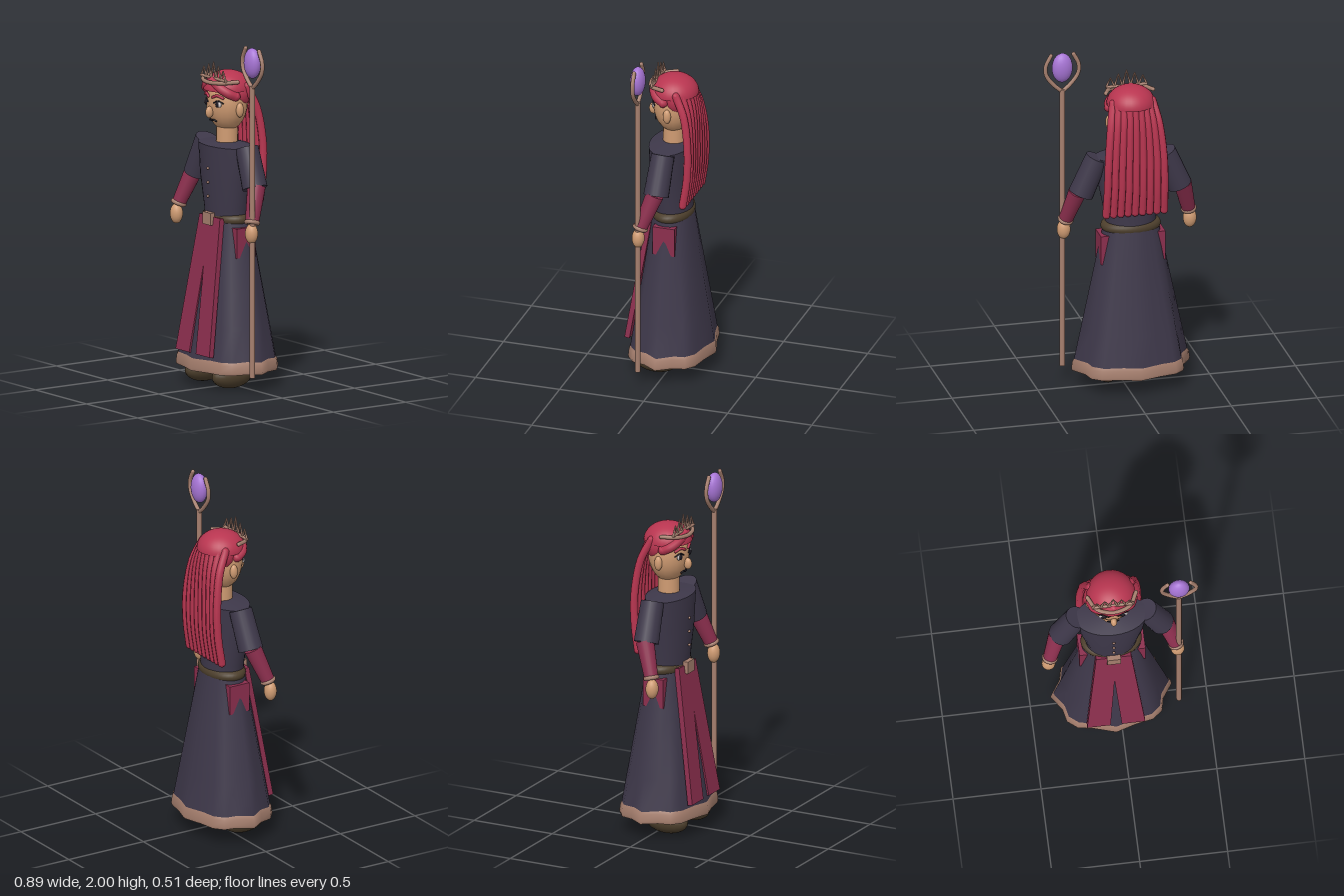
import * as THREE from 'three';

const mat = (name, color) => {
  const m = new THREE.MeshStandardMaterial({ color });
  m.name = name;
  return m;
};

export function createModel() {
  const M = {
    robe: mat('dark robe', 0x3e384a), wine: mat('wine cloth', 0x8c2f4e), hair: mat('red hair', 0xb83550),
    tan: mat('tan trim', 0xa67f6e), skin: mat('skin', 0xcf9b72), belt: mat('brown leather', 0x4d3f2c),
    gem: mat('purple gem', 0xa674d4), dark: mat('dark features', 0x1e1b24), white: mat('eye white', 0xd8d0d0),
  };
  const root = new THREE.Group();
  root.name = 'robedFigure';
  const body = new THREE.Group();
  body.name = 'figure';
  body.position.x = -0.04;
  root.add(body);

  // Helpers
  const add = (name, geo, m, x = 0, y = 0, z = 0) => {
    const mesh = new THREE.Mesh(geo, m);
    mesh.name = name;
    mesh.position.set(x, y, z);
    body.add(mesh);
    return mesh;
  };
  const blob = (name, m, x, y, z, rx, ry, rz) => {
    const mesh = add(name, new THREE.SphereGeometry(1, 20, 14), m, x, y, z);
    mesh.scale.set(rx, ry, rz);
    return mesh;
  };
  const V = (p) => new THREE.Vector3(...p);
  const limb = (name, m, a, b, ra, rb) => {
    const A = V(a), B = V(b), d = A.clone().sub(B);
    const mesh = add(name, new THREE.CylinderGeometry(ra, rb, d.length(), 20), m);
    mesh.position.copy(A).add(B).multiplyScalar(0.5);
    mesh.quaternion.setFromUnitVectors(new THREE.Vector3(0, 1, 0), d.normalize());
    return mesh;
  };
  // Tube with domed ends
  const tube = (name, m, pts, r, n = 20) => {
    add(name, new THREE.TubeGeometry(new THREE.CatmullRomCurve3(pts.map(V)), n, r, 8), m);
    for (const p of [pts[0], pts[pts.length - 1]]) add(name + 'End', new THREE.SphereGeometry(r, 8, 6), m, ...p);
  };
  // Surface through closed rings listed from bottom to top; each ring is { y, pts: [[x, z], ...] }
  const loft = (rings) => {
    const n = rings[0].pts.length, pos = [], idx = [];
    rings.forEach(({ y, pts }) => pts.forEach(([x, z]) => pos.push(x, y, z)));
    for (let i = 0; i < rings.length - 1; i++) {
      for (let j = 0; j < n; j++) {
        const a = i * n + j, b = i * n + (j + 1) % n;
        idx.push(a, a + n, b, b, a + n, b + n);
      }
    }
    const g = new THREE.BufferGeometry();
    g.setAttribute('position', new THREE.Float32BufferAttribute(pos, 3));
    g.setIndex(idx);
    g.computeVertexNormals();
    return g;
  };
  const oval = (y, rx, rz, cz = 0, n = 32) => ({
    y, pts: Array.from({ length: n }, (_, k) => {
      const a = k / n * Math.PI * 2;
      return [Math.cos(a) * rx, cz + Math.sin(a) * rz];
    }),
  });

  // Skirt: oval waist spreading into a scalloped hem
  const hem = [[0.34, 0], [0.283, 0.083], [0.267, 0.155], [0.214, 0.197], [0.117, 0.215], [0, 0.25]];
  const skirtRing = (y, scale = 1) => {
    const s = Math.min(1, (0.95 - y) / 0.83);
    return {
      y, pts: Array.from({ length: 20 }, (_, k) => {
        const a = k * Math.PI / 10, c = Math.cos(a), d = Math.sin(a);
        const [hx, hz] = hem[k % 10 <= 5 ? k % 10 : 10 - k % 10];
        const x = 0.165 * c * (1 - s) + Math.sign(c) * hx * s;
        const z = 0.115 * d * (1 - s) + Math.sign(d) * hz * s;
        return [x * scale, z * scale];
      }),
    };
  };
  add('skirt', loft([0.13, 0.35, 0.55, 0.75, 0.95].map((y) => skirtRing(y))), M.robe);
  add('skirtUnderside', loft([skirtRing(0.115, 0.001), skirtRing(0.115, 0.95)]), M.robe);
  add('hemTrim', loft([skirtRing(0.12, 0.86), skirtRing(0.1, 0.87), skirtRing(0.1, 1)]), M.tan);
  add('hemBand', loft([skirtRing(0.1, 1), skirtRing(0.115, 1.015), skirtRing(0.155, 1.02), skirtRing(0.175, 0.995)]), M.tan);

  // Split front panel, leaning with the skirt
  const panel = new THREE.Shape();
  [[-0.1, 0], [-0.165, -0.785], [-0.032, -0.785], [0, -0.27], [0.032, -0.785], [0.165, -0.785], [0.1, 0]]
    .forEach(([x, y], i) => (i ? panel.lineTo(x, y) : panel.moveTo(x, y)));
  const front = add('frontPanel', new THREE.ExtrudeGeometry(panel, { depth: 0.03, bevelEnabled: false }), M.wine, 0, 0.97, 0.09);
  front.rotation.x = -0.153;

  // Torso
  add('torso', loft([oval(0.93, 0.145, 0.11), oval(1.02, 0.147, 0.112, 0.005), oval(1.2, 0.182, 0.12, 0.01), oval(1.38, 0.205, 0.122, 0.01)]), M.robe);
  add('shoulderTop', loft([oval(1.38, 0.205, 0.122, 0.01), oval(1.395, 0.06, 0.055, 0), oval(1.395, 0.001, 0.001)]), M.robe);
  for (const y of [1.09, 1.17, 1.25]) blob('button', M.tan, 0, y, 0.132, 0.008, 0.008, 0.008);
  const belt = add('belt', new THREE.TorusGeometry(0.145, 0.029, 12, 40), M.belt, 0, 0.962, 0);
  belt.rotation.x = Math.PI / 2;
  belt.scale.y = 0.67;
  add('buckle', new THREE.BoxGeometry(0.078, 0.07, 0.03), M.tan, 0, 0.963, 0.128);

  // Neck and head
  add('neck', new THREE.CylinderGeometry(0.06, 0.062, 0.14, 20), M.skin, 0, 1.445, 0);
  blob('head', M.skin, 0, 1.62, 0, 0.125, 0.165, 0.115);
  blob('nose', M.skin, 0, 1.572, 0.122, 0.019, 0.034, 0.024);
  tube('mouth', M.dark, [[-0.03, 1.521, 0.096], [-0.012, 1.528, 0.103], [0, 1.523, 0.105], [0.012, 1.528, 0.103], [0.03, 1.521, 0.096]], 0.005);

  // Hair cap: the rear part reaches lower than the front
  add('hairCap', new THREE.SphereGeometry(0.138, 28, 14, 0, Math.PI * 2, 0, Math.PI * 0.5), M.hair, 0, 1.695, -0.005).scale.y = 0.78;
  blob('hairBack', M.hair, 0, 1.68, -0.035, 0.133, 0.115, 0.092);

  // Long strands down the back
  for (let i = -4; i <= 4; i++) {
    const t = i / 4, c = 1 - t * t;
    tube('hairStrand', M.hair, [
      [0.115 * t, 1.72, -0.05 - 0.05 * c], [0.14 * t, 1.6, -0.105 - 0.02 * c],
      [0.16 * t, 1.4, -0.134], [0.165 * t, 1.22, -0.13], [0.168 * t, 1.07, -0.108],
    ], 0.023);
  }

  // Crown: curved band with a zigzag of points
  tube('crownBand', M.tan, [[-0.138, 1.755, 0.025], [-0.095, 1.75, 0.1], [0, 1.745, 0.128], [0.095, 1.75, 0.1], [0.138, 1.755, 0.025]], 0.012);
  limb('crownBar', M.tan, [-0.12, 1.765, 0.093], [0.12, 1.765, 0.093], 0.009, 0.009);
  [1.82, 1.84, 1.86, 1.84, 1.82].forEach((top, i) => {
    const x = (i - 2) * 0.047;
    for (const s of [-1, 1]) limb('crownPoint', M.tan, [x, top, 0.093], [x + s * 0.023, 1.765, 0.093], 0.003, 0.007);
  });

  // Paired parts
  for (const s of [-1, 1]) {
    blob('shoe', M.belt, s * 0.132, 0.07, 0.06, 0.066, 0.07, 0.13);
    add('hipPanel', new THREE.BoxGeometry(0.07, 0.17, 0.13), M.wine, s * 0.153, 0.837, 0);
    blob('ear', M.skin, s * 0.126, 1.59, 0, 0.02, 0.042, 0.023);
    blob('eyeWhite', M.white, s * 0.055, 1.622, 0.099, 0.029, 0.018, 0.009);
    blob('iris', M.dark, s * 0.053, 1.622, 0.105, 0.017, 0.017, 0.007);
    tube('upperLid', M.dark, [[s * 0.027, 1.628, 0.111], [s * 0.055, 1.643, 0.104], [s * 0.085, 1.63, 0.087]], 0.004, 8);
    tube('eyebrow', M.hair, [[s * 0.02, 1.66, 0.114], [s * 0.05, 1.672, 0.105], [s * 0.085, 1.66, 0.088]], 0.008, 8);
    tube('fringe', M.hair, [[0, 1.745, 0.098], [s * 0.06, 1.72, 0.096], [s * 0.105, 1.69, 0.065], [s * 0.12, 1.67, 0.025]], 0.028);
    // Arms
    limb('upperSleeve', M.robe, [s * 0.195, 1.383, 0], [s * 0.287, 1.167, 0.01], 0.066, 0.072);
    limb('lowerSleeve', M.wine, [s * 0.305, 1.18, 0.012], [s * 0.356, 0.995, 0.078], 0.052, 0.04);
    const cuff = add('cuff', new THREE.TorusGeometry(0.033, 0.013, 10, 24), M.tan, s * 0.358, 0.99, 0.08);
    cuff.rotation.set(Math.PI / 2 - 0.3, s * 0.2, 0);
    blob('hand', M.skin, s * 0.367, 0.928, 0.09, 0.039, 0.058, 0.036);
  }

  // Staff with forked head and gem
  const sx = 0.375, sz = 0.09;
  add('staff', new THREE.CylinderGeometry(0.016, 0.016, 1.68, 12), M.tan, sx, 0.94, sz);
  for (const s of [-1, 1]) {
    tube('staffProng', M.tan, [[0, 1.765], [0.05, 1.81], [0.092, 1.87], [0.096, 1.925], [0.066, 1.988]]
      .map(([x, y]) => [sx + s * x, y, sz]), 0.012);
  }
  blob('staffGem', M.gem, sx, 1.91, sz, 0.06, 0.087, 0.043);

  return root;
}
